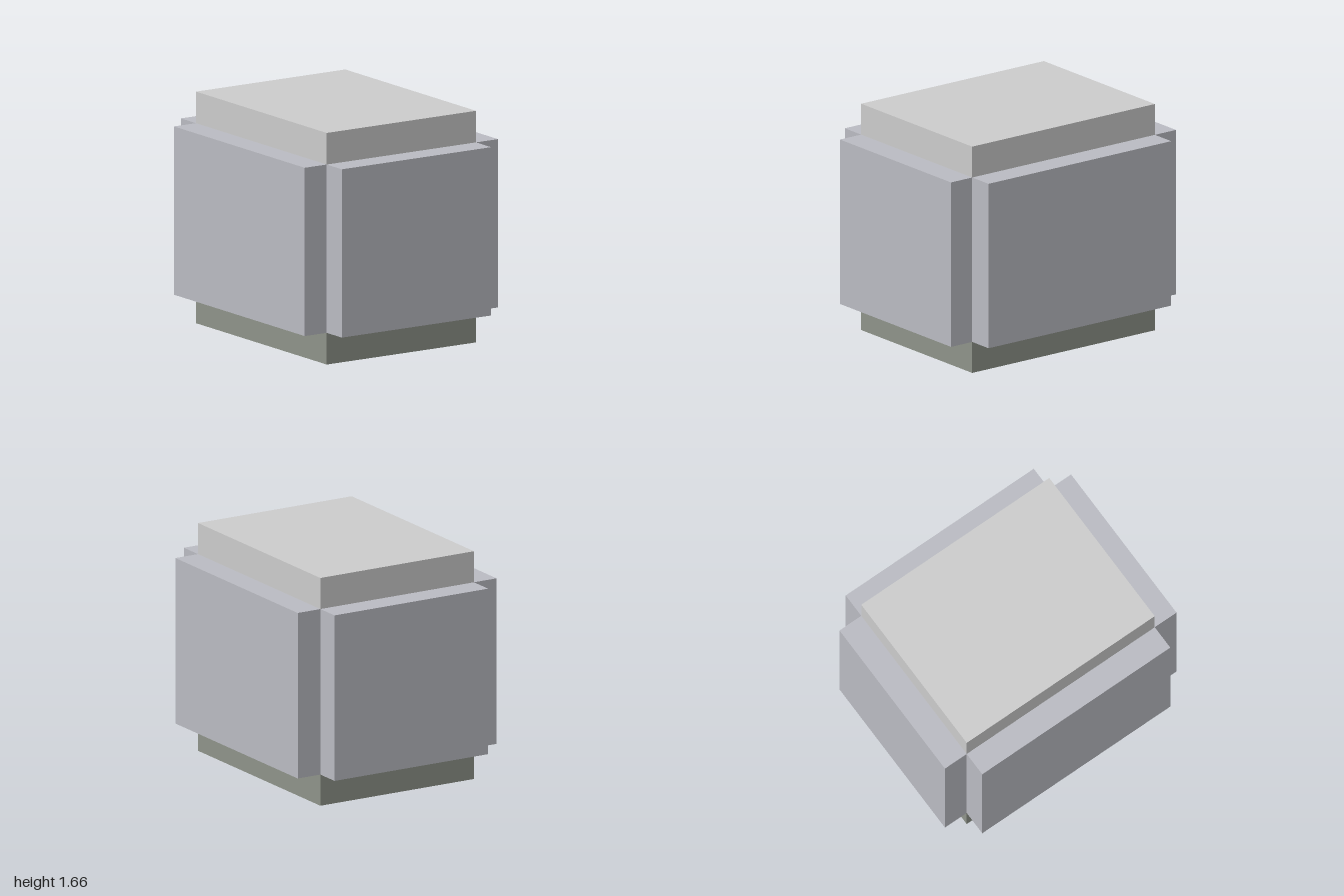
import * as THREE from 'three';

// Inner room half-width, half-depth, floor level and ceiling level
const X = 0.635, Z = 0.812, Y0 = 0.228, Y1 = 1.438;
const OUT_X = 0.822, OUT_Z = 1, TOP = 1.665;

export function createModel() {
  const model = new THREE.Group();
  model.name = 'room';

  const ceilingMat = new THREE.MeshStandardMaterial({ color: 0xcccccc });
  const wallMat = new THREE.MeshStandardMaterial({ color: 0xbabbc2 });
  const floorMat = new THREE.MeshStandardMaterial({ color: 0x8e9389 });

  // Slab spanning two opposite corners
  const slab = (name, material, [x0, y0, z0], [x1, y1, z1]) => {
    const mesh = new THREE.Mesh(new THREE.BoxGeometry(x1 - x0, y1 - y0, z1 - z0), material);
    mesh.position.set((x0 + x1) / 2, (y0 + y1) / 2, (z0 + z1) / 2);
    mesh.name = name;
    model.add(mesh);
  };

  // Floor and ceiling
  slab('floor', floorMat, [-X, 0, -Z], [X, Y0, Z]);
  slab('ceiling', ceilingMat, [-X, Y1, -Z], [X, TOP, Z]);

  // Four walls around the hollow interior
  slab('frontWall', wallMat, [-X, Y0, Z], [X, Y1, OUT_Z]);
  slab('backWall', wallMat, [-X, Y0, -OUT_Z], [X, Y1, -Z]);
  slab('leftWall', wallMat, [X, Y0, -Z], [OUT_X, Y1, Z]);
  slab('rightWall', wallMat, [-OUT_X, Y0, -Z], [-X, Y1, Z]);

  return model;
}
